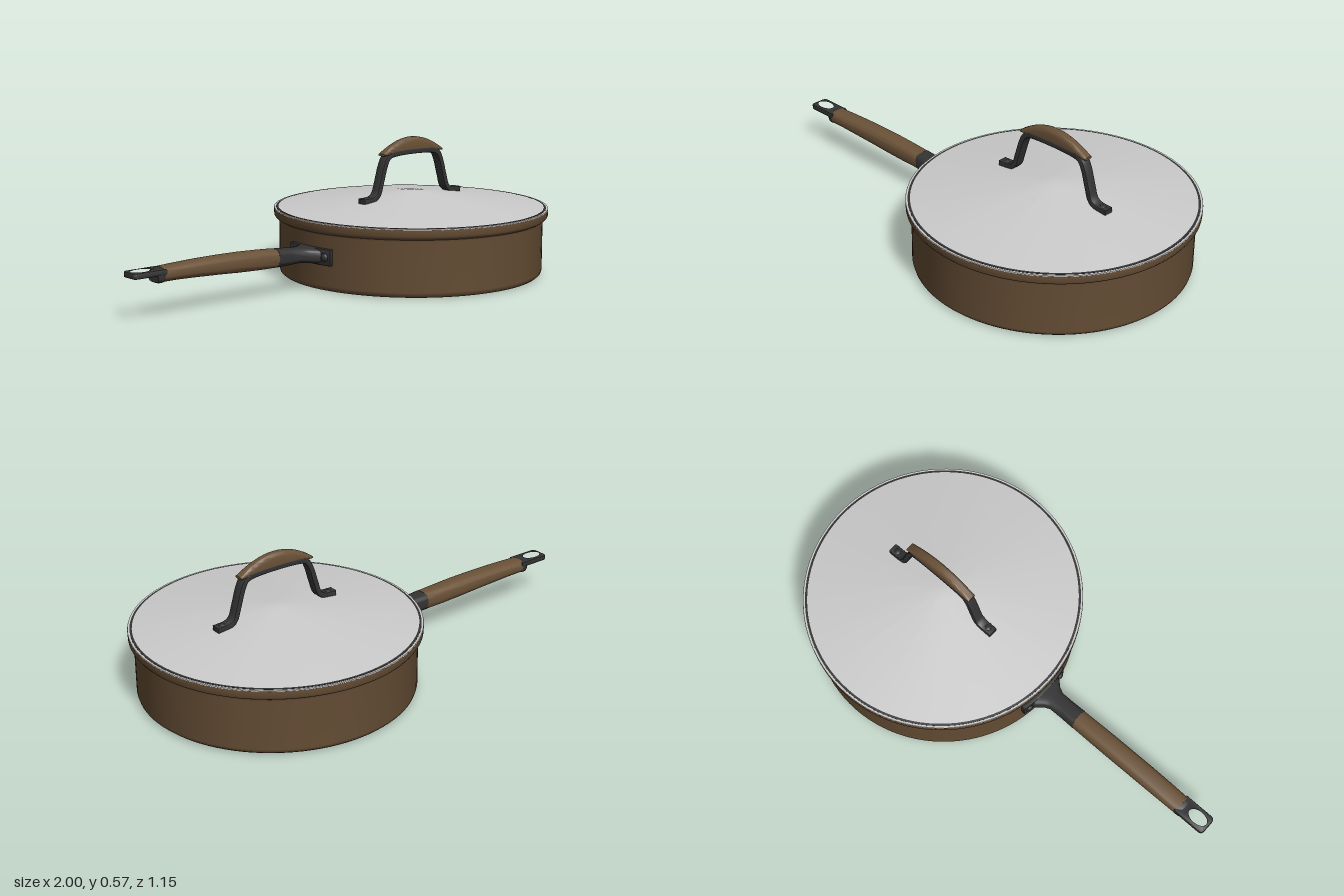
import * as THREE from 'three';
import { toCreasedNormals } from 'three/addons/utils/BufferGeometryUtils.js';

const PAN_X = 0.425;
const mat = (color, side = THREE.FrontSide) => new THREE.MeshStandardMaterial({ color, side });
const brown = mat(0x6b5238, THREE.DoubleSide);
const dark = mat(0x333333);
const grey = mat(0xcccccc, THREE.DoubleSide);

function add(parent, name, geometry, material, x = 0, y = 0, z = 0) {
  const mesh = new THREE.Mesh(geometry, material);
  mesh.name = name;
  mesh.position.set(x, y, z);
  parent.add(mesh);
  return mesh;
}

function lathe(points, segments = 96) {
  const profile = points.map(([r, y]) => new THREE.Vector2(r, y));
  return toCreasedNormals(new THREE.LatheGeometry(profile, segments), 0.6);
}

// Rounded sections along x: [x, bottom, top, half width], closed at both ends
function loft(sections, power = 0.7, n = 28) {
  const pos = [], index = [];
  const soft = (v) => Math.sign(v) * Math.abs(v) ** power;
  for (const [x, y0, y1, w] of sections) {
    for (let i = 0; i < n; i++) {
      const a = (i / n) * Math.PI * 2;
      pos.push(x, (y0 + y1) / 2 + soft(Math.sin(a)) * (y1 - y0) / 2, soft(Math.cos(a)) * w);
    }
  }
  const last = sections.length - 1;
  for (let s = 0; s < last; s++) {
    for (let i = 0; i < n; i++) {
      const a = s * n + i, b = s * n + (i + 1) % n;
      index.push(a, a + n, b, b, a + n, b + n);
    }
  }
  for (const s of [0, last]) {
    const [x, y0, y1] = sections[s];
    const c = pos.length / 3;
    pos.push(x, (y0 + y1) / 2, 0);
    for (let i = 0; i < n; i++) {
      const a = s * n + i, b = s * n + (i + 1) % n;
      if (s === 0) index.push(c, a, b);
      else index.push(c, b, a);
    }
  }
  const g = new THREE.BufferGeometry();
  g.setAttribute('position', new THREE.Float32BufferAttribute(pos, 3));
  g.setIndex(index);
  return toCreasedNormals(g, 0.7);
}

// Flat bar of given thickness following a curve in the xy plane
function strap(points, thickness, width) {
  const curve = new THREE.CatmullRomCurve3(points.map(([x, y]) => new THREE.Vector3(x, y, 0)), false, 'centripetal');
  const upper = [], lower = [], steps = 80, bevel = 0.004;
  for (let i = 0; i <= steps; i++) {
    const p = curve.getPointAt(i / steps), t = curve.getTangentAt(i / steps);
    const h = thickness / 2 - bevel;
    upper.push(new THREE.Vector2(p.x - t.y * h, p.y + t.x * h));
    lower.push(new THREE.Vector2(p.x + t.y * h, p.y - t.x * h));
  }
  const depth = width - 2 * bevel;
  const g = new THREE.ExtrudeGeometry(new THREE.Shape([...lower, ...upper.reverse()]), {
    depth, bevelSize: bevel, bevelThickness: bevel, bevelSegments: 2,
  });
  return toCreasedNormals(g.translate(0, 0, -depth / 2), 0.6);
}

function createPan() {
  const pan = new THREE.Group();
  pan.name = 'pan';
  add(pan, 'panBody', lathe([
    [0, 0], [0.528, 0], [0.54, 0.003], [0.549, 0.011], [0.553, 0.024], [0.553, 0.225],
    [0.556, 0.234], [0.568, 0.241], [0.574, 0.25], [0.575, 0.277], [0.563, 0.277],
    [0.56, 0.25], [0.54, 0.235], [0.54, 0.03], [0.525, 0.015], [0, 0.015],
  ]), brown, PAN_X);
  return pan;
}

function createLid() {
  const lid = new THREE.Group();
  lid.name = 'lid';
  add(lid, 'lidCover', lathe([[0, 0.335], [0.558, 0.268], [0.562, 0.28], [0.05, 0.343], [0.02, 0.346], [0, 0.346]].slice(0)), grey, PAN_X);
  add(lid, 'lidSeal', lathe([[0.557, 0.27], [0.566, 0.27], [0.566, 0.281], [0.557, 0.282]]), mat(0x333333, THREE.DoubleSide), PAN_X);
  add(lid, 'lidRim', lathe([[0.566, 0.276], [0.575, 0.276], [0.574, 0.28], [0.566, 0.28]]), grey, PAN_X);

  // Bent lid handle: half the path is mirrored
  const half = [[-0.275, 0.325], [-0.225, 0.329], [-0.2, 0.345], [-0.182, 0.395], [-0.16, 0.465], [-0.142, 0.496], [-0.11, 0.507]];
  const path = [...half, ...half.map(([x, y]) => [-x, y]).reverse()];
  add(lid, 'lidHandleStrap', strap(path, 0.022, 0.042), dark, PAN_X);

  // Domed grip, flat below
  const sections = [];
  for (let i = 0; i <= 24; i++) {
    const u = -1 + i / 12;
    const dome = 1 - u * u;
    sections.push([u * 0.168, 0.499 + 0.004 * u * u, 0.513 + 0.059 * dome, 0.019 + 0.002 * dome]);
  }
  add(lid, 'lidHandleGrip', loft(sections, 0.65), brown, PAN_X);

  for (const side of [-1, 1]) {
    const rivet = add(lid, 'lidRivet', new THREE.SphereGeometry(0.014, 16, 8, 0, Math.PI * 2, 0, Math.PI / 2), dark, PAN_X + side * 0.25, 0.334, 0);
    rivet.scale.y = 0.5;
    add(lid, 'lidHandleFoot', new THREE.CylinderGeometry(0.016, 0.018, 0.02, 20), dark, PAN_X + side * 0.25, 0.317, 0);
  }
  return lid;
}

function createHandle() {
  const handle = new THREE.Group();
  handle.name = 'handle';

  // Hanging tab with an oval eye
  const tab = new THREE.Shape();
  tab.moveTo(-0.86, -0.037);
  tab.lineTo(-0.982, -0.037);
  tab.quadraticCurveTo(-0.996, -0.037, -0.996, -0.022);
  tab.lineTo(-0.996, 0.022);
  tab.quadraticCurveTo(-0.996, 0.037, -0.982, 0.037);
  tab.lineTo(-0.86, 0.037);
  const eye = new THREE.Path();
  eye.absellipse(-0.946, 0, 0.043, 0.026, 0, Math.PI * 2, true);
  tab.holes.push(eye);
  const tabGeo = new THREE.ExtrudeGeometry(tab, {
    depth: 0.014, bevelSize: 0.004, bevelThickness: 0.004, bevelSegments: 2, curveSegments: 24,
  }).rotateX(-Math.PI / 2);
  add(handle, 'hangingTab', toCreasedNormals(tabGeo, 0.6), dark, 0, 0.169, 0);

  add(handle, 'endCap', loft([[-0.89, 0.136, 0.18, 0.034], [-0.88, 0.132, 0.188, 0.039], [-0.862, 0.133, 0.191, 0.04]]), dark);
  add(handle, 'handleGrip', loft([
    [-0.865, 0.135, 0.192, 0.04], [-0.8, 0.135, 0.195, 0.041], [-0.7, 0.131, 0.198, 0.042],
    [-0.6, 0.126, 0.199, 0.042], [-0.5, 0.12, 0.198, 0.042], [-0.4, 0.116, 0.194, 0.041], [-0.318, 0.115, 0.189, 0.04],
  ]), brown);
  add(handle, 'handleCollar', loft([
    [-0.32, 0.116, 0.188, 0.04], [-0.26, 0.117, 0.183, 0.039], [-0.2, 0.119, 0.178, 0.04],
    [-0.175, 0.116, 0.177, 0.052], [-0.15, 0.113, 0.176, 0.075], [-0.12, 0.112, 0.175, 0.085],
  ], 0.55), dark);

  // Mounting plate curved round the pan wall
  const plate = new THREE.Shape();
  plate.absarc(0, 0, 0.567, Math.PI - 0.21, Math.PI + 0.21, false);
  plate.absarc(0, 0, 0.548, Math.PI + 0.21, Math.PI - 0.21, true);
  const plateGeo = new THREE.ExtrudeGeometry(plate, {
    depth: 0.06, bevelSize: 0.003, bevelThickness: 0.003, bevelSegments: 2, curveSegments: 24,
  }).rotateX(-Math.PI / 2);
  add(handle, 'mountingPlate', toCreasedNormals(plateGeo, 0.6), dark, PAN_X, 0.113, 0);

  for (const side of [-1, 1]) {
    const a = side * 0.165;
    const rivet = add(handle, 'plateRivet', new THREE.SphereGeometry(0.017, 18, 12), dark,
      PAN_X - Math.cos(a) * 0.569, 0.143, Math.sin(a) * 0.569);
    rivet.rotation.y = a;
    rivet.scale.x = 0.65;
  }
  return handle;
}

export function createModel() {
  const model = new THREE.Group();
  model.name = 'coveredPan';
  model.add(createPan(), createLid(), createHandle());
  return model;
}
